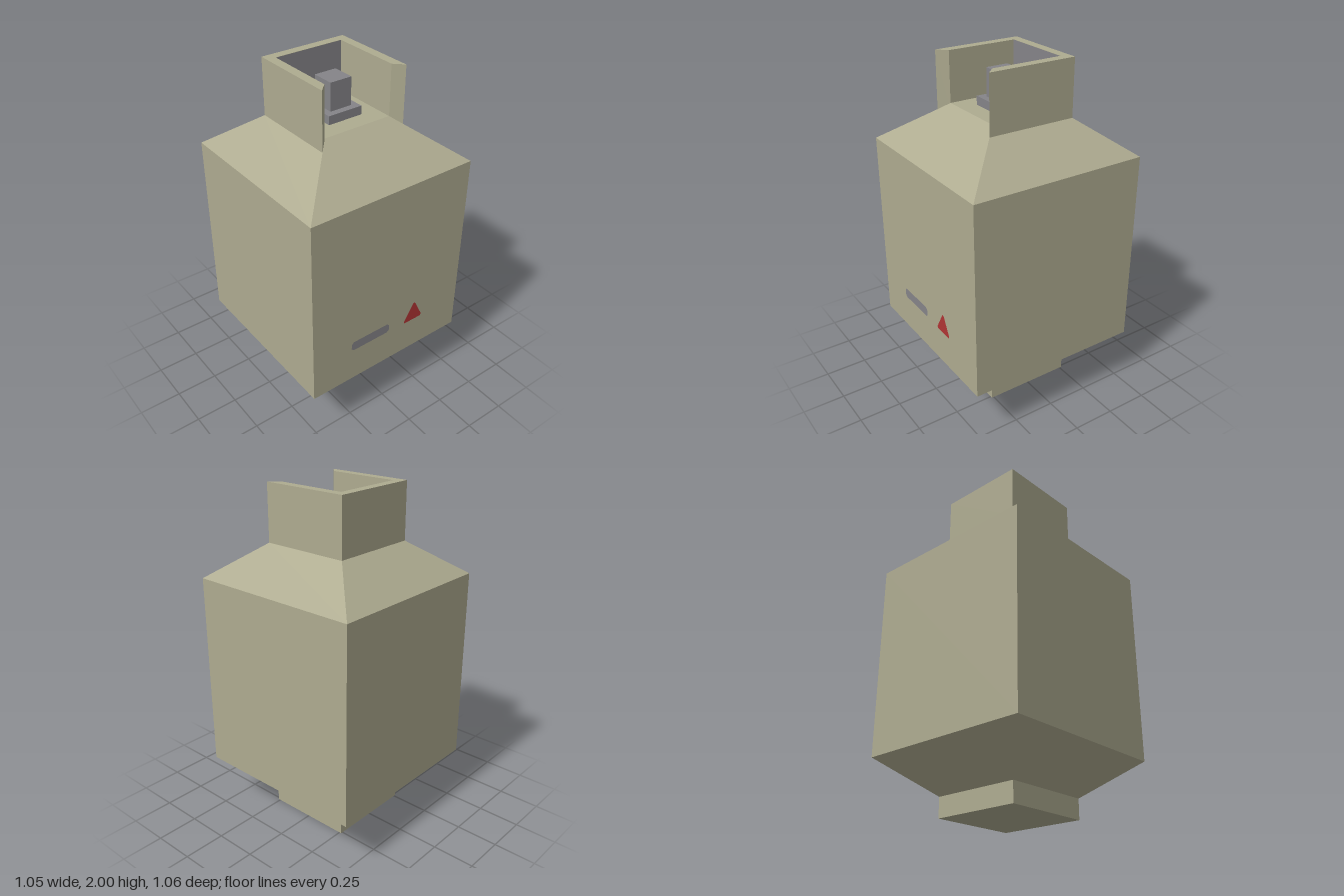
import * as THREE from 'three';

const flat = (color) => new THREE.MeshStandardMaterial({ color, flatShading: true });
const mat = (name, color) => Object.assign(flat(color), { name });

export function createModel() {
  const model = new THREE.Group();
  const shell = mat('khaki shell', 0xaeab90);
  const metal = mat('grey metal', 0x858488);
  const warning = mat('warning red', 0xb03434);

  const add = (name, geometry, material, x = 0, y = 0, z = 0) => {
    const mesh = new THREE.Mesh(geometry, material);
    mesh.name = name;
    mesh.position.set(x, y, z);
    model.add(mesh);
    return mesh;
  };
  const shapeOf = (points) => new THREE.Shape(points.map(([x, y]) => new THREE.Vector2(x, y)));

  // Square tank: foot, lower taper, body, shoulder and collar floor in one profile
  const profile = [
    [0, 0], [0.263, 0], [0.263, 0.115], [0.527, 0.325],
    [0.527, 1.475], [0.263, 1.67], [0.21, 1.71], [0, 1.71],
  ].map(([half, y]) => new THREE.Vector2(half * Math.SQRT2, y));
  const tank = new THREE.LatheGeometry(profile, 4, Math.PI / 4).toNonIndexed();
  tank.computeVertexNormals();
  add('tank', tank, shell);

  // Three-sided collar, open at the front with mitred ends
  const o = 0.263, i = 0.21;
  const plan = shapeOf([[-o, -o], [-i, -i], [-i, i], [i, i], [i, -i], [o, -o], [o, o], [-o, o]]);
  const collar = new THREE.ExtrudeGeometry(plan, { depth: 0.33, bevelEnabled: false });
  collar.rotateX(-Math.PI / 2);
  add('collar', collar, shell, 0, 1.67, 0);
  add('collarBackPanel', new THREE.PlaneGeometry(2 * i, 0.29), metal, 0, 1.855, -i + 0.003);

  // Valve inside the collar
  add('valveBase', new THREE.BoxGeometry(0.212, 0.05, 0.212), metal, 0, 1.735, 0);
  add('valveStem', new THREE.BoxGeometry(0.134, 0.16, 0.134), metal, 0, 1.84, 0);

  // Front markings: rounded bar and triangle with blunted corners
  const bar = shapeOf([
    [-0.27, 0.555], [-0.255, 0.54], [-0.015, 0.54], [0, 0.555],
    [0, 0.585], [-0.015, 0.6], [-0.255, 0.6], [-0.27, 0.585],
  ]);
  const triangle = shapeOf([
    [0.118, 0.535], [0.242, 0.535], [0.245, 0.55], [0.195, 0.652],
    [0.185, 0.662], [0.175, 0.652], [0.117, 0.55],
  ]);
  add('labelBar', new THREE.ShapeGeometry(bar), metal, 0, 0, 0.53);
  add('warningTriangle', new THREE.ShapeGeometry(triangle), warning, 0, 0, 0.53);

  return model;
}
